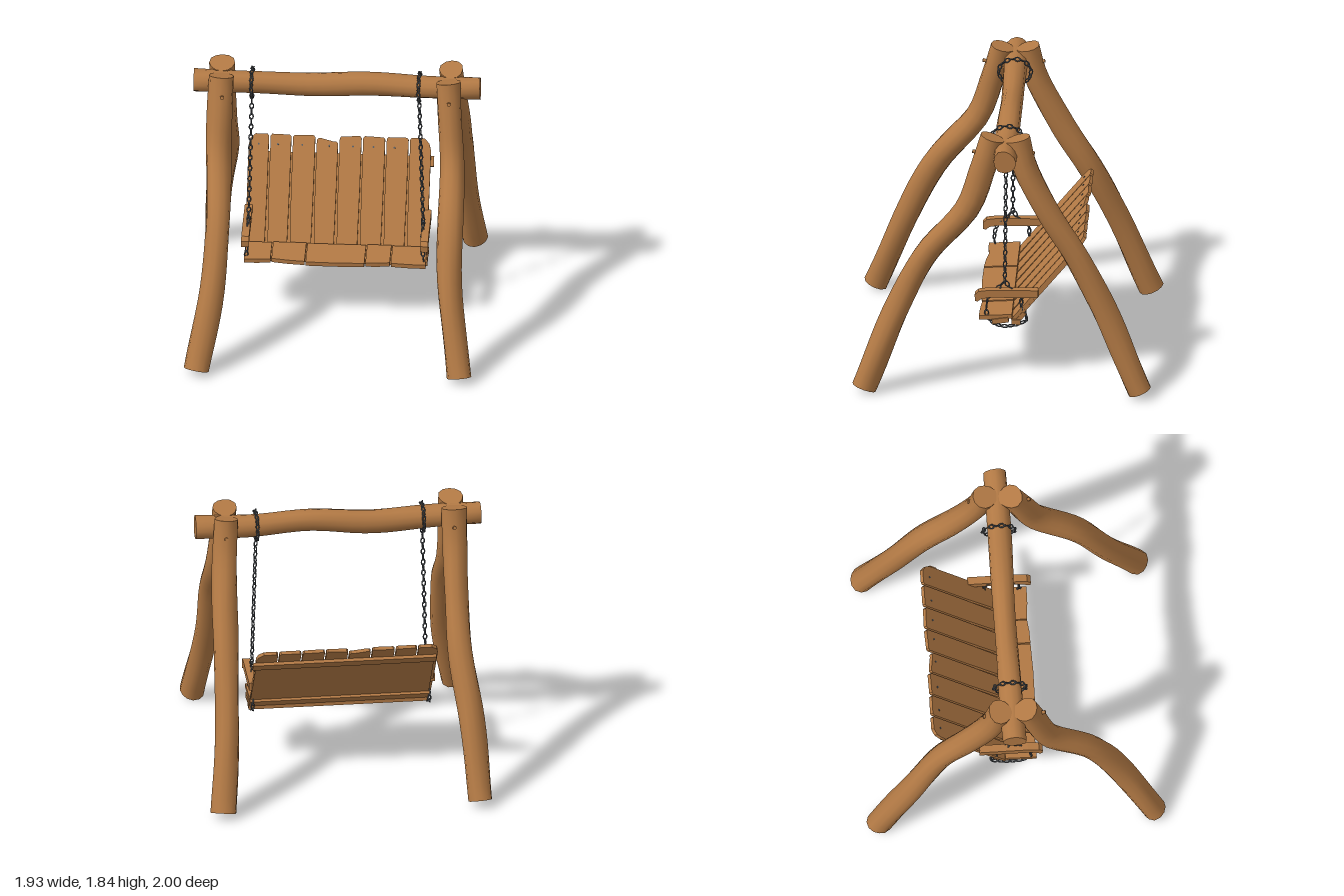
import * as THREE from 'three';
import { mergeGeometries } from 'three/addons/utils/BufferGeometryUtils.js';

const wood = new THREE.MeshStandardMaterial({ color: 0xb37a45 });
wood.name = 'wood';
const steel = new THREE.MeshStandardMaterial({ color: 0x565b61 });
steel.name = 'chainSteel';

const V = (x, y, z) => new THREE.Vector3(x, y, z);

function add(parent, name, geometry, material = wood) {
  const mesh = new THREE.Mesh(geometry, material);
  mesh.name = name;
  parent.add(mesh);
  return mesh;
}

// Rough log: uneven rings swept along a curve, with flat sawn ends
function logGeometry(points, radius, side, seed) {
  const curve = new THREE.CatmullRomCurve3(points.map((p) => V(...p)));
  const rings = 22, sides = 12, pos = [], index = [];
  const ringPoint = (i, j) => {
    const t = i / rings, p = curve.getPointAt(t), T = curve.getTangentAt(t);
    const N = side.clone().addScaledVector(T, -side.dot(T)).normalize();
    const B = T.clone().cross(N);
    const a = (j / sides) * Math.PI * 2;
    const r = radius * (1 + 0.045 * Math.sin(2 * a + t * 9 + seed) + 0.035 * Math.sin(3 * a - t * 14 + seed * 2));
    return p.addScaledVector(N, r * Math.cos(a)).addScaledVector(B, r * Math.sin(a));
  };
  for (let i = 0; i <= rings; i++)
    for (let j = 0; j < sides; j++) pos.push(...ringPoint(i, j).toArray());
  for (let i = 0; i < rings; i++)
    for (let j = 0; j < sides; j++) {
      const a = i * sides + j, b = i * sides + ((j + 1) % sides);
      index.push(a, b, a + sides, b, b + sides, a + sides);
    }
  for (const i of [0, rings]) {
    const c = pos.length / 3;
    pos.push(...curve.getPointAt(i / rings).toArray());
    for (let j = 0; j < sides; j++) pos.push(...ringPoint(i, j).toArray());
    for (let j = 0; j < sides; j++) {
      const a = c + 1 + j, b = c + 1 + ((j + 1) % sides);
      if (i) index.push(c, a, b);
      else index.push(c, b, a);
    }
  }
  const g = new THREE.BufferGeometry();
  g.setAttribute('position', new THREE.Float32BufferAttribute(pos, 3));
  g.setIndex(index);
  g.computeVertexNormals();
  return g;
}

// Chain: oval links along a curve, each turned a quarter from the last
function chainGeometry(curve, pitch) {
  const n = Math.round(curve.getLength() / pitch), links = [];
  for (let i = 0; i < n; i++) {
    const t = (i + 0.5) / n;
    const link = new THREE.TorusGeometry(0.0125, 0.0048, 5, 10);
    link.scale(1, (pitch * 0.5 + 0.007) / 0.0173, 1);
    link.rotateY((i % 2) * Math.PI / 2 + 0.5);
    link.applyQuaternion(new THREE.Quaternion().setFromUnitVectors(V(0, 1, 0), curve.getTangentAt(t)));
    const p = curve.getPointAt(t);
    link.translate(p.x, p.y, p.z);
    links.push(link);
  }
  return mergeGeometries(links);
}

// Flat board from an outline, depth centred on zero
function board(outline, depth) {
  const g = new THREE.ExtrudeGeometry(new THREE.Shape(outline.map((p) => new THREE.Vector2(...p))),
    { depth, bevelEnabled: false });
  return g.translate(0, 0, -depth / 2);
}

export function createModel() {
  const model = new THREE.Group();
  model.name = 'gardenSwing';

  // Legs, from top to foot
  const frontYZ = [[1.82, 0.075], [1.6, 0.14], [1.32, 0.235], [0.98, 0.52], [0.58, 0.715], [0.035, 0.93]];
  const backYZ = [[1.82, -0.095], [1.6, -0.15], [1.28, -0.31], [0.98, -0.495], [0.58, -0.69], [0.035, -0.918]];
  const legs = {
    frontRightLeg: [frontYZ, [-0.77, -0.775, -0.78, -0.765, -0.79, -0.885]],
    backRightLeg: [backYZ, [-0.775, -0.775, -0.765, -0.765, -0.82, -0.86]],
    frontLeftLeg: [frontYZ, [0.75, 0.765, 0.785, 0.79, 0.8, 0.875]],
    backLeftLeg: [backYZ, [0.76, 0.775, 0.795, 0.805, 0.82, 0.87]],
  };
  Object.entries(legs).forEach(([name, [yz, xs]], k) => {
    add(model, name, logGeometry(yz.map(([y, z], i) => [xs[i], y, z]), 0.083, V(1, 0, 0), k * 1.7));
    // Peg holding the leg to the beam
    const peg = add(model, 'peg', new THREE.CylinderGeometry(0.013, 0.013, 0.05, 6));
    const s = Math.sign(yz[0][1]);
    peg.position.set(xs[0] + 0.01, 1.715, s * 0.185);
    peg.rotation.x = s * 1.3;
  });

  // Cross beam
  add(model, 'crossBeam', logGeometry([[-0.96, 1.73, -0.01], [-0.6, 1.725, -0.015], [-0.2, 1.712, -0.02],
    [0.2, 1.74, -0.015], [0.6, 1.722, -0.015], [0.96, 1.728, -0.015]], 0.077, V(0, 1, 0), 4));

  // Backrest, leaning back
  const back = new THREE.Group();
  back.name = 'backrest';
  back.position.set(0, 0.41, -0.06);
  back.rotation.x = -0.68;
  model.add(back);
  const edges = [-0.62, -0.475, -0.325, -0.165, -0.012, 0.145, 0.303, 0.46, 0.612];
  const tops = [0.74, 0.77, 0.77, 0.768, 0.765, 0.768, 0.75, 0.73, 0.765, 0.772, 0.772, 0.768, 0.77, 0.77, 0.77, 0.735];
  for (let i = 0; i < 8; i++) {
    const l = edges[i], r = edges[i + 1] - 0.011, a = tops[2 * i], b = tops[2 * i + 1];
    const first = i === 0, last = i === 7;
    const outline = [[l + 0.006, 0], [r - 0.004, 0], [r, 0.4], [r, last ? 0.69 : b - 0.012],
      [r - (last ? 0.012 : 0.01), b], [last ? r - 0.045 : r - 0.03, last ? 0.77 : b],
      [first ? l + 0.045 : l + 0.03, first ? 0.77 : a], [l + 0.01, a], [l, first ? 0.69 : a - 0.012], [l, 0.35]];
    const plank = add(back, 'backPlank', board(outline, 0.024));
    plank.position.z = 0.012;
    // Nail heads
    const nail = add(back, 'nailHead', new THREE.CylinderGeometry(0.007, 0.007, 0.006, 6), steel);
    nail.rotation.x = Math.PI / 2;
    nail.position.set((l + r) / 2 + 0.02 * Math.sin(i * 5), 0.7, 0.025);
  }
  add(back, 'backPanel', new THREE.BoxGeometry(1.2, 0.6, 0.012)).position.set(0, 0.33, -0.006);
  add(back, 'upperBatten', new THREE.BoxGeometry(1.235, 0.07, 0.022)).position.set(0.005, 0.62, -0.011);
  add(back, 'lowerBatten', new THREE.BoxGeometry(1.21, 0.07, 0.03)).position.set(0, 0.06, -0.015);

  // Seat boards and the rails below them
  const seatEdges = [-0.615, -0.43, -0.2, 0.2, 0.37, 0.61];
  const fronts = [0.16, 0.15, 0.175, 0.172, 0.16, 0.172];
  for (let i = 0; i < 5; i++) {
    const l = seatEdges[i], r = seatEdges[i + 1] - 0.008;
    const seat = add(model, 'seatBoard', board([[l, -0.05], [r, -0.05], [r, fronts[i + 1]],
      [(l + r) / 2, (fronts[i] + fronts[i + 1]) / 2 + 0.004], [l, fronts[i]]].map(([x, z]) => [x, -z]).reverse(), 0.03));
    seat.rotation.x = -Math.PI / 2 + 0.06;
    seat.position.y = 0.446 + (i % 2) * 0.004;
  }
  const rail = add(model, 'seatRail', new THREE.BoxGeometry(1.2, 0.035, 0.11));
  rail.position.set(0.01, 0.418, 0.03);
  rail.rotation.x = 0.15;
  add(model, 'rearSeatRail', new THREE.BoxGeometry(1.2, 0.035, 0.06)).position.set(0.01, 0.41, -0.075);

  // Armrests and chains on both sides
  const armOutline = [[-0.225, 0.595], [0.1, 0.592], [0.155, 0.582], [0.18, 0.562], [0.198, 0.566],
    [0.2, 0.61], [0.175, 0.635], [0.1, 0.645], [-0.225, 0.648]];
  for (const [label, xTop, xArm] of [['right', -0.57, -0.605], ['left', 0.55, 0.595]]) {
    const arm = add(model, label + 'Armrest', board(armOutline, 0.052));
    arm.rotation.y = -Math.PI / 2;
    arm.position.x = xArm;

    const ring = [];
    for (let i = 0; i < 12; i++) {
      const a = (i / 12) * Math.PI * 2;
      ring.push(V(xTop, 1.722 + 0.093 * Math.cos(a), -0.015 + 0.108 * Math.sin(a)));
    }
    add(model, label + 'BeamChain', chainGeometry(new THREE.CatmullRomCurve3(ring, true), 0.036), steel);

    const xMid = xArm + (xArm < 0 ? 0.012 : -0.018);
    add(model, label + 'HangingChain', chainGeometry(
      new THREE.LineCurve3(V(xTop, 1.64, -0.008), V(xMid, 0.68, 0)), 0.04), steel);

    const sling = [[0.69, 0], [0.65, 0.04], [0.59, 0.105], [0.45, 0.118], [0.39, 0.07], [0.372, 0],
      [0.385, -0.08], [0.425, -0.145], [0.5, -0.115], [0.6, -0.1], [0.65, -0.035]];
    const loop = new THREE.CatmullRomCurve3(
      sling.map(([y, z]) => V(y > 0.55 ? xMid : xArm + (xArm < 0 ? 0.003 : -0.008), y, z)), true);
    add(model, label + 'SeatChain', chainGeometry(loop, 0.042), steel);
  }
  return model;
}
